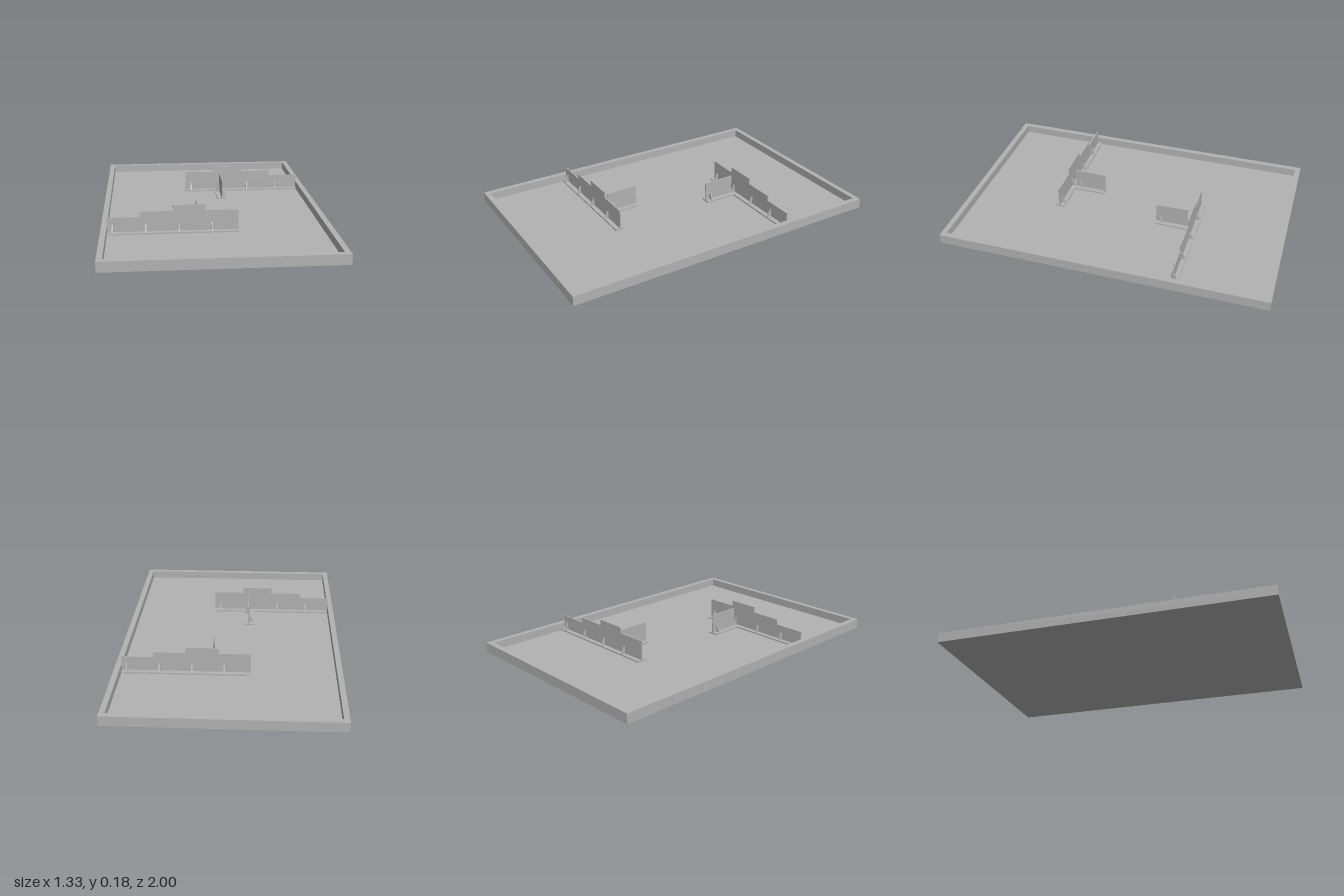
import * as THREE from 'three';

const grey = new THREE.MeshStandardMaterial({ color: 0xb2b2b2 });
grey.name = 'plain grey';

const W = 1.332, L = 2, RIM = 0.033;
const FLOOR = 0.011, TOP = 0.06, PLATE = 0.02, THICK = 0.007;

function mesh(name, geometry, parent) {
  const m = new THREE.Mesh(geometry, grey);
  m.name = name;
  parent.add(m);
  return m;
}

// Box given by its minimum and maximum corners
function block(name, a, b, parent) {
  const m = mesh(name, new THREE.BoxGeometry(b[0] - a[0], b[1] - a[1], b[2] - a[2]), parent);
  m.position.set((a[0] + b[0]) / 2, (a[1] + b[1]) / 2, (a[2] + b[2]) / 2);
  return m;
}

function rectangle(Type, w, l) {
  return new Type([[-w, -l], [w, -l], [w, l], [-w, l]].map(([x, y]) => new THREE.Vector2(x / 2, y / 2)));
}

// Small tapered support standing on the plate; its upright edge meets the panel
function bracket(x, z, turn, parent) {
  const s = new THREE.Shape();
  s.moveTo(0, 0).lineTo(0.025, 0).lineTo(0.006, 0.046).lineTo(0, 0.046).closePath();
  const g = new THREE.ExtrudeGeometry(s, { depth: 0.008, bevelEnabled: false });
  g.translate(0, 0, -0.004);
  const m = mesh('bracket', g, parent);
  m.position.set(x, PLATE, z);
  m.rotation.y = turn;
}

function createBarrier() {
  const g = new THREE.Group();
  g.name = 'barrier';
  const z = 0.433, h = THICK / 2;

  // Base plates under the long panel and the short cross panel
  block('longBasePlate', [-0.633, FLOOR, 0.4], [0.132, PLATE, 0.465], g);
  block('shortBasePlate', [-0.133, FLOOR, 0.2], [-0.067, PLATE, 0.4], g);

  // Long panel with a stepped top
  const s = new THREE.Shape();
  s.moveTo(-0.633, PLATE);
  s.lineTo(0.132, PLATE);
  s.lineTo(0.132, 0.14);
  s.lineTo(-0.06, 0.14);
  s.lineTo(-0.06, 0.176);
  s.lineTo(-0.25, 0.176);
  s.lineTo(-0.25, 0.14);
  s.lineTo(-0.442, 0.14);
  s.lineTo(-0.442, 0.108);
  s.lineTo(-0.633, 0.108);
  s.closePath();
  const panel = mesh('steppedPanel', new THREE.ExtrudeGeometry(s, { depth: THICK, bevelEnabled: false }), g);
  panel.position.z = z - h;

  // Short cross panel
  block('crossPanel', [-0.1 - h, PLATE, 0.2], [-0.1 + h, 0.14, 0.4], g);

  // Brackets alternate along both faces
  for (let i = 0; i < 4; i++) {
    bracket(-0.6 + i * 0.192, z + h, -Math.PI / 2, g);
    bracket(-0.482 + i * 0.192, z - h, Math.PI / 2, g);
  }
  bracket(-0.1 - h, 0.236, Math.PI, g);
  bracket(-0.1 + h, 0.362, 0, g);
  return g;
}

export function createModel() {
  const model = new THREE.Group();
  model.name = 'walledCourt';

  // Floor slab
  block('floor', [-W / 2, 0, -L / 2], [W / 2, FLOOR, L / 2], model);

  // Raised rim around the floor
  const ring = rectangle(THREE.Shape, W, L);
  ring.holes.push(rectangle(THREE.Path, W - 2 * RIM, L - 2 * RIM));
  const rimGeometry = new THREE.ExtrudeGeometry(ring, { depth: TOP - FLOOR, bevelEnabled: false });
  rimGeometry.rotateX(-Math.PI / 2);
  mesh('rim', rimGeometry, model).position.y = FLOOR;

  // Two barriers, the second turned half round
  for (const turn of [0, Math.PI]) {
    const barrier = createBarrier();
    barrier.name = turn ? 'backBarrier' : 'frontBarrier';
    barrier.rotation.y = turn;
    model.add(barrier);
  }
  return model;
}
